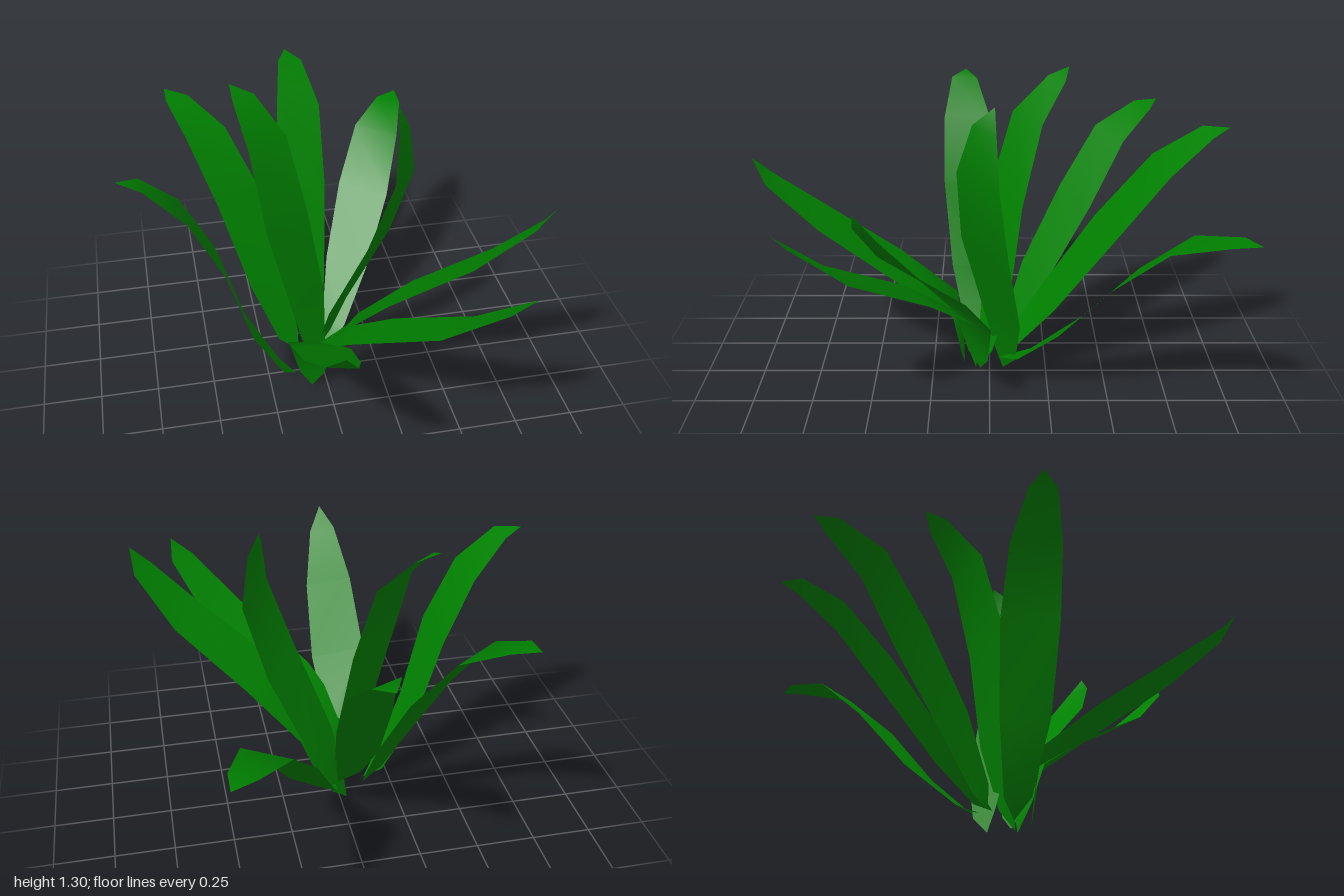
import * as THREE from 'three';

const material = new THREE.MeshStandardMaterial({ color: 0x008000, side: THREE.DoubleSide });

// Half-width of a blade at each station from root to tip
const HALF_WIDTHS = [0, 0.055, 0.1, 0.12, 0.105, 0.058, 0];

// Ribbon blade: a spine of seven points widened along one sideways direction
function makeLeaf(name, side, spine) {
  const across = new THREE.Vector3(...side).normalize();
  const positions = [];
  const index = [];
  const last = spine.length - 1;
  spine.forEach((point, i) => {
    const center = new THREE.Vector3(...point);
    // The root and tip are single points, other stations have two edges
    const signs = i === 0 || i === last ? [0] : [-1, 1];
    for (const s of signs) {
      positions.push(...center.clone().addScaledVector(across, s * HALF_WIDTHS[i]).toArray());
    }
  });
  const tip = 2 * last - 1;
  index.push(0, 2, 1);
  for (let i = 1; i < last - 1; i++) {
    const a = 2 * i - 1;
    index.push(a, a + 1, a + 2, a + 1, a + 3, a + 2);
  }
  index.push(tip - 2, tip - 1, tip);

  const geometry = new THREE.BufferGeometry();
  geometry.setAttribute('position', new THREE.Float32BufferAttribute(positions, 3));
  geometry.setIndex(index);
  geometry.computeVertexNormals();
  const mesh = new THREE.Mesh(geometry, material);
  mesh.name = name;
  return mesh;
}

export function createModel() {
  const plant = new THREE.Group();
  plant.name = 'leafyPlant';

  plant.add(
    // Front leaves
    makeLeaf('frontLeaf', [1, -0.15, 0.08], [
      [-0.07, 0.01, 0.11], [-0.07, 0.1, 0.12], [-0.08, 0.3, 0.15], [-0.085, 0.49, 0.4],
      [-0.105, 0.7, 0.71], [-0.12, 0.875, 0.935], [-0.12, 0.97, 1.0],
    ]),
    makeLeaf('frontLeftLeaf', [0.8, -0.03, -0.55], [
      [-0.03, 0.01, 0.06], [-0.055, 0.11, 0.08], [0, 0.28, 0.11], [0.155, 0.46, 0.31],
      [0.41, 0.67, 0.59], [0.575, 0.875, 0.76], [0.617, 0.95, 0.81],
    ]),
    // Side leaves
    makeLeaf('leftLeaf', [0.63, -0.13, -0.77], [
      [0.045, 0.05, 0.04], [0.06, 0.12, 0.05], [0.1, 0.31, 0.07], [0.3, 0.54, 0.185],
      [0.585, 0.785, 0.335], [0.76, 0.99, 0.43], [0.805, 1.08, 0.46],
    ]),
    makeLeaf('rightLeaf', [-0.08, -0.07, -1], [
      [-0.13, 0.03, 0.04], [-0.2, 0.1, 0.05], [-0.335, 0.37, 0.07], [-0.44, 0.74, 0.085],
      [-0.57, 1.01, 0.1], [-0.72, 1.16, 0.115], [-0.81, 1.18, 0.11],
    ]),
    // Upright inner leaves
    makeLeaf('innerLeftLeaf', [0.58, -0.2, -0.78], [
      [-0.03, 0.01, -0.06], [0.01, 0.1, -0.07], [0.08, 0.32, -0.05], [0.235, 0.705, 0.02],
      [0.33, 1.02, 0.045], [0.325, 1.225, 0.02], [0.31, 1.31, -0.02],
    ]),
    makeLeaf('innerRightLeaf', [0.82, -0.05, -0.57], [
      [-0.03, 0.02, 0.05], [-0.03, 0.12, 0.02], [-0.06, 0.39, -0.03], [-0.135, 0.78, -0.07],
      [-0.195, 1.12, -0.16], [-0.27, 1.27, -0.285], [-0.32, 1.31, -0.34],
    ]),
    // Back leaves
    makeLeaf('backRightLeaf', [0.85, -0.1, -0.5], [
      [-0.1, 0.08, -0.06], [-0.14, 0.15, -0.09], [-0.21, 0.4, -0.2], [-0.3, 0.73, -0.38],
      [-0.415, 0.985, -0.535], [-0.52, 1.085, -0.69], [-0.57, 1.1, -0.76],
    ]),
    makeLeaf('backLeaf', [0.96, -0.16, -0.22], [
      [-0.03, 0.1, -0.04], [-0.035, 0.15, -0.1], [-0.035, 0.35, -0.25], [-0.005, 0.69, -0.48],
      [0.025, 0.985, -0.7], [0.02, 1.125, -0.88], [0.01, 1.14, -0.97],
    ]),
    makeLeaf('backLeftLeaf', [0.82, -0.05, 0.57], [
      [0.02, 0.09, -0.04], [0.08, 0.14, -0.15], [0.18, 0.33, -0.34], [0.3, 0.6, -0.54],
      [0.405, 0.795, -0.735], [0.51, 0.85, -0.92], [0.56, 0.855, -1.0],
    ]),
  );
  return plant;
}
